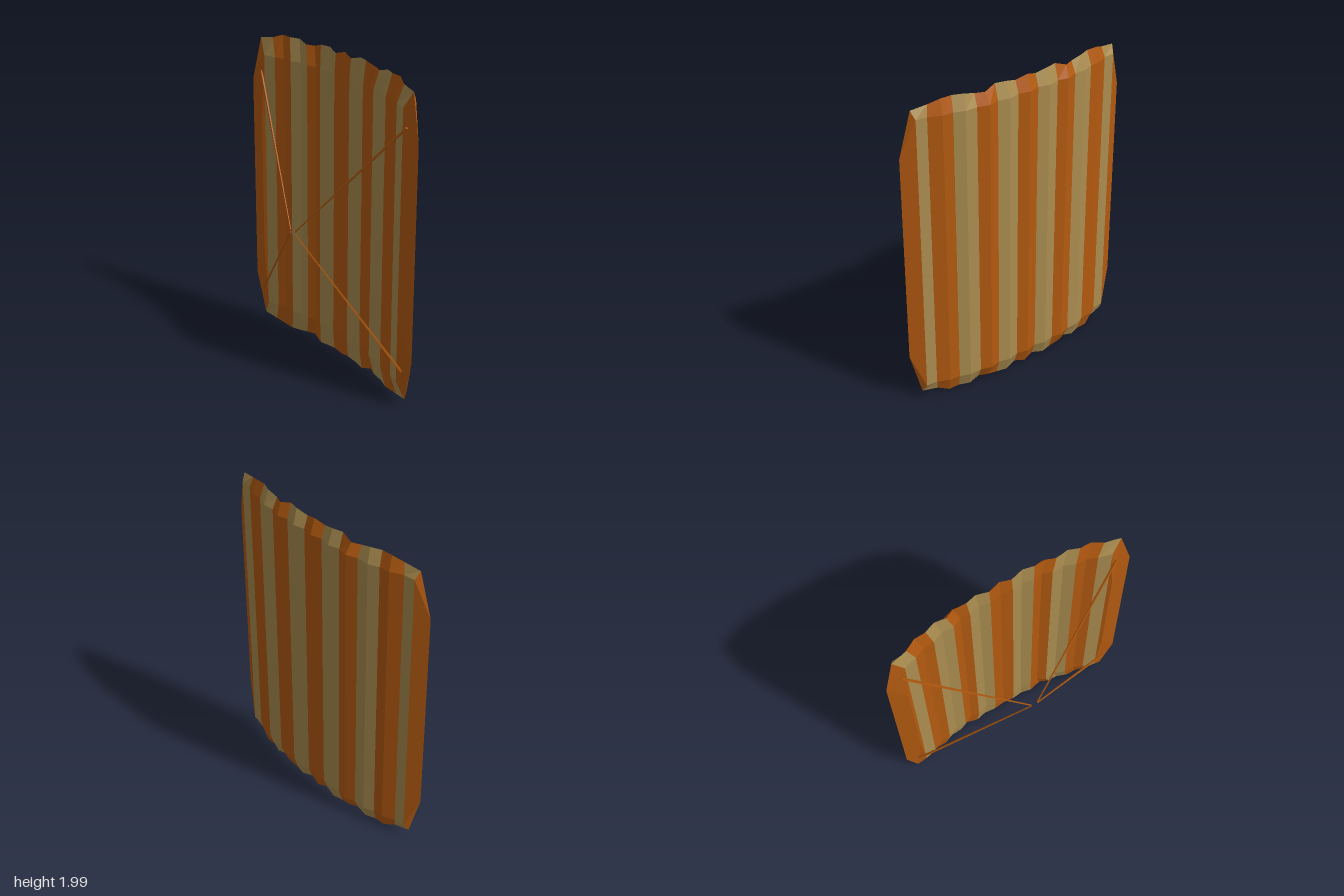
import * as THREE from 'three';

const orange = new THREE.MeshStandardMaterial({ color: 0xb35a10, flatShading: true });
const tan = new THREE.MeshStandardMaterial({ color: 0xab8d50, flatShading: true });

// Half cross-section from the middle outwards, alternating ridge and seam:
// back x, back z, front x, front z, hem x, hem y (lower), hem z
const HALF = [
  [0, -0.21, 0, -0.17, 0, 0.005, -0.178],
  [0.07, -0.192, 0.07, -0.155, 0.07, 0.025, -0.165],
  [0.14, -0.21, 0.135, -0.17, 0.145, 0.005, -0.178],
  [0.21, -0.192, 0.2, -0.15, 0.21, 0.005, -0.163],
  [0.275, -0.208, 0.255, -0.16, 0.285, 0.03, -0.175],
  [0.345, -0.184, 0.31, -0.135, 0.34, 0.03, -0.152],
  [0.42, -0.184, 0.38, -0.14, 0.41, 0.01, -0.155],
  [0.485, -0.158, 0.445, -0.112, 0.475, 0.01, -0.13],
  [0.55, -0.153, 0.51, -0.11, 0.545, 0.01, -0.128],
  [0.625, -0.117, 0.57, -0.085, 0.61, 0.035, -0.1],
  [0.695, -0.112, 0.65, -0.062, 0.71, 0.05, -0.082],
];

// Closed loop of one column: front, upper hem, back, lower hem
function column(p, s) {
  const [bx, bz, fx, fz, hx, hy, hz] = p;
  return [
    [s * fx, 0.15, fz], [s * fx, 1.85, fz], [s * hx, 2 - hy, hz],
    [s * bx, 1.9, bz], [s * bx, 0.1, bz], [s * hx, hy, hz],
  ];
}

// Mesh from a list of outward-facing triangles and quads
function polyMesh(name, faces, material) {
  const pos = [];
  for (const f of faces) {
    for (let i = 1; i < f.length - 1; i++) pos.push(...f[0], ...f[i], ...f[i + 1]);
  }
  const geo = new THREE.BufferGeometry();
  geo.setAttribute('position', new THREE.Float32BufferAttribute(pos, 3));
  geo.computeVertexNormals();
  const mesh = new THREE.Mesh(geo, material);
  mesh.name = name;
  return mesh;
}

// Pointed border along one side of the canopy
function sideBorder(s) {
  const [a0, a1, c1, b1, b0, c0] = column(HALF[HALF.length - 1], 1);
  const t0 = [0.78, 0.33, -0.065], t1 = [0.78, 1.67, -0.065];
  const m0 = [0.67, 0.55, -0.05], m1 = [0.67, 1.45, -0.05];
  let faces = [
    [a0, c0, t0, m0], [m0, t0, t1, m1], [m1, t1, c1, a1], [a0, m0, m1, a1],
    [b0, b1, t1, t0], [c0, b0, t0], [b1, c1, t1],
  ];
  if (s < 0) faces = faces.map((f) => f.map(([x, y, z]) => [-x, y, z]).reverse());
  return polyMesh(s > 0 ? 'leftBorder' : 'rightBorder', faces, orange);
}

// Thin tapered line between two points
function line(name, from, to) {
  const a = new THREE.Vector3(...from), b = new THREE.Vector3(...to);
  const dir = b.clone().sub(a);
  const mesh = new THREE.Mesh(new THREE.CylinderGeometry(0.004, 0.008, dir.length(), 4), orange);
  mesh.position.copy(a).add(b).multiplyScalar(0.5);
  mesh.quaternion.setFromUnitVectors(new THREE.Vector3(0, 1, 0), dir.normalize());
  mesh.name = name;
  return mesh;
}

export function createModel() {
  const model = new THREE.Group();
  model.name = 'canopyWithLines';

  // Ribbed cells in alternating colours
  const canopy = new THREE.Group();
  canopy.name = 'canopy';
  const columns = [
    ...HALF.slice(1).reverse().map((p) => column(p, -1)),
    ...HALF.map((p) => column(p, 1)),
  ];
  const mid = HALF.length - 1;
  const cells = new Map();
  for (let k = 0; k < columns.length - 1; k++) {
    const h = k >= mid ? k - mid : mid - 1 - k;
    const cell = Math.floor((h + 1) / 2) * (k >= mid ? 1 : -1) || 0;
    if (!cells.has(cell)) cells.set(cell, []);
    const L = columns[k], R = columns[k + 1];
    for (let i = 0; i < 6; i++) {
      const j = (i + 1) % 6;
      cells.get(cell).push([L[i], R[i], R[j], L[j]]);
    }
  }
  for (const [cell, faces] of cells) {
    const side = cell === 0 ? 'middle' : cell > 0 ? 'left' : 'right';
    canopy.add(polyMesh(`${side}Cell${Math.abs(cell)}`, faces, cell % 2 ? tan : orange));
  }
  canopy.add(sideBorder(1), sideBorder(-1));
  model.add(canopy);

  // Four lines converging in front of the canopy
  for (const s of [1, -1]) {
    const side = s > 0 ? 'left' : 'right';
    model.add(line(`${side}UpperLine`, [s * 0.685, 1.745, -0.06], [s * 0.022, 0.97, 0.208]));
    model.add(line(`${side}LowerLine`, [s * 0.7, 0.24, -0.06], [s * 0.022, 0.955, 0.208]));
  }
  return model;
}
